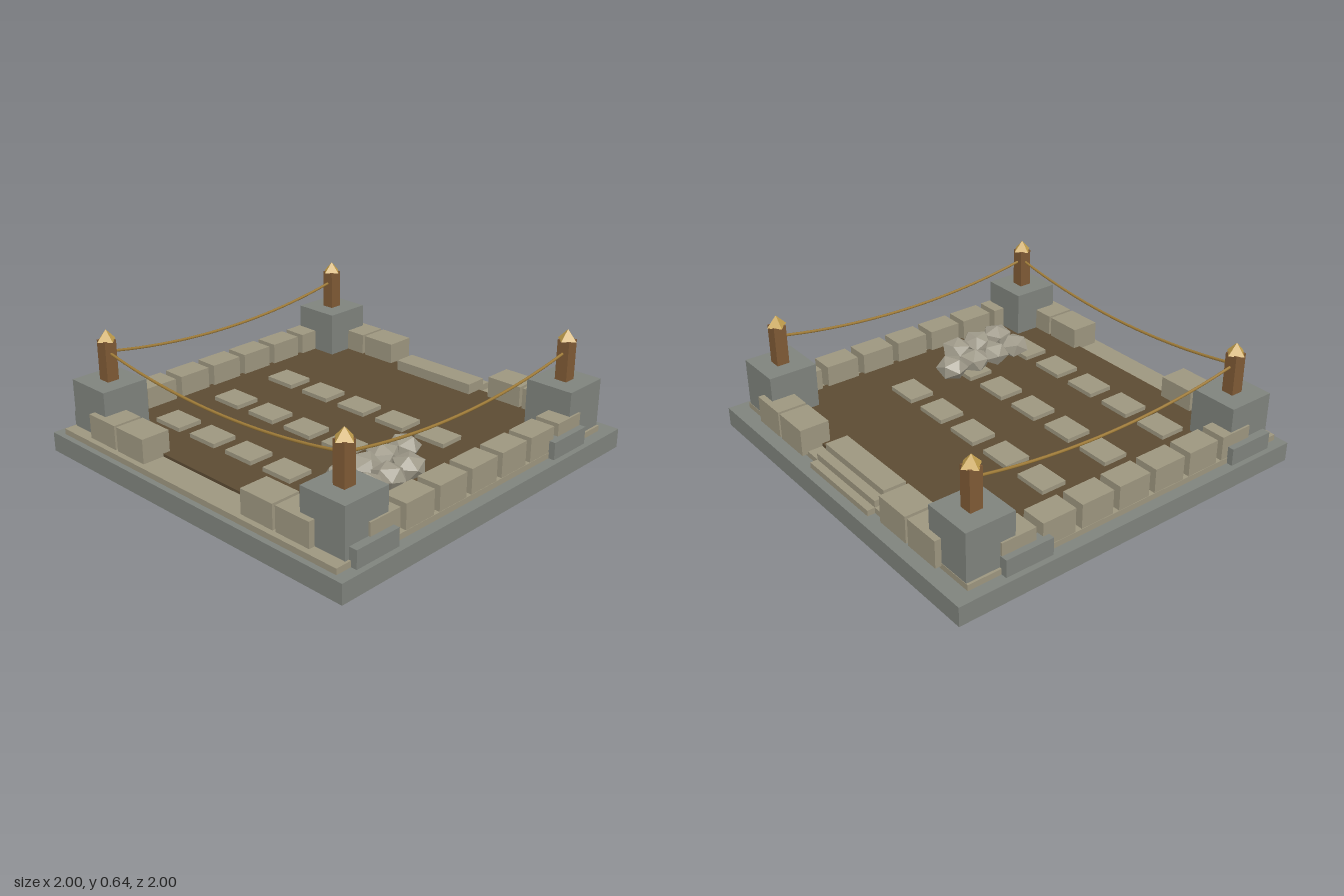
import * as THREE from 'three';

const mat = (name, color, flat = false) => {
  const m = new THREE.MeshStandardMaterial({ color, flatShading: flat });
  m.name = name;
  return m;
};

export function createModel() {
  const root = new THREE.Group();
  root.name = 'walledYard';
  const grey = mat('greyStone', 0x7f837d);
  const tan = mat('tanStone', 0x9d967f);
  const soil = mat('soil', 0x5c4b33);
  const wood = mat('wood', 0x7f5a35);
  const gold = mat('gold', 0xc6a24e, true);
  const ropeMat = mat('rope', 0xa07c38);
  const rubble = mat('rubble', 0x9f9a8a, true);

  const add = (name, geo, material, x, y, z) => {
    const m = new THREE.Mesh(geo, material);
    m.name = name;
    m.position.set(x, y, z);
    root.add(m);
    return m;
  };
  // Box from minimum to maximum corner
  const box = (name, material, x0, x1, y0, y1, z0, z1) =>
    add(name, new THREE.BoxGeometry(x1 - x0, y1 - y0, z1 - z0), material,
      (x0 + x1) / 2, (y0 + y1) / 2, (z0 + z1) / 2);

  // Ground layers
  box('base', grey, -1, 1, 0, 0.1, -1, 1);
  box('kerb', tan, -0.94, 0.94, 0.1, 0.13, -0.91, 0.97);
  box('soilBed', soil, -0.83, 0.83, 0.12, 0.145, -0.83, 0.825);

  // Side walls
  for (const s of [-1, 1]) {
    for (let i = 0; i < 7; i++) {
      const z = 0.68 - i * 0.22;
      add('sideWallBlock', new THREE.BoxGeometry(0.13, 0.14, 0.183), tan, s * 0.873, 0.186, z);
    }
    // Front and back walls, open in the middle
    for (const x of [0.44, 0.657])
      for (const e of [-1, 1])
        add('endWallBlock', new THREE.BoxGeometry(0.2, 0.14, 0.155), tan, s * x, 0.186, e * 0.863);
  }

  // Corner piers with posts, caps and low buttresses
  const px = 0.8, pz = 0.78;
  for (const s of [-1, 1]) {
    for (const e of [-1, 1]) {
      box('cornerPier', grey, s * px - 0.128, s * px + 0.128, 0.1, 0.38, e * pz - 0.128, e * pz + 0.128);
      add('post', new THREE.BoxGeometry(0.066, 0.21, 0.066), wood, s * px, 0.482, e * pz);
      add('postCap', new THREE.ConeGeometry(0.053, 0.056, 4), gold, s * px, 0.612, e * pz);
      const bz = e > 0 ? 0.758 : -0.607;
      add('buttress', new THREE.BoxGeometry(0.07, 0.09, 0.256), grey, s * 0.936, 0.145, bz);
    }
  }

  // Sagging ropes on the front and both sides
  const rope = (name, ax, az, bx, bz) => {
    const pts = [];
    for (let i = 0; i <= 8; i++) {
      const t = i / 8, u = 2 * t - 1;
      pts.push(new THREE.Vector3(ax + (bx - ax) * t, 0.45 + 0.076 * u * u, az + (bz - az) * t));
    }
    add(name, new THREE.TubeGeometry(new THREE.CatmullRomCurve3(pts), 24, 0.007, 6), ropeMat, 0, 0, 0);
  };
  rope('frontRope', -px, pz, px, pz);
  rope('leftRope', px, -pz, px, pz);
  rope('rightRope', -px, -pz, -px, pz);

  // Back steps
  box('topStep', tan, -0.25, 0.25, -0.001, 0.2, -0.86, -0.74);
  box('middleStep', tan, -0.25, 0.25, -0.001, 0.165, -0.91, -0.86);
  box('lowStep', tan, -0.25, 0.25, -0.001, 0.13, -0.95, -0.91);

  // Paving slabs
  for (let i = 0; i < 5; i++)
    for (let j = 0; j < 3; j++)
      add('pavingSlab', new THREE.BoxGeometry(0.178, 0.03, 0.138), tan, -0.563 + i * 0.261, 0.152, -0.207 + j * 0.38);

  // Rubble pile
  const spots = [[0.495, 0.06], [0.49, 0.2], [0.645, 0.2], [0.495, 0.335],
    [0.645, 0.335], [0.495, 0.475], [0.645, 0.475]];
  spots.forEach(([x, z], i) => {
    const g = new THREE.IcosahedronGeometry(0.087, 0);
    g.rotateX(i * 0.9).rotateY(i * 1.7 + 0.4).scale(1, 0.75, 1);
    add('rubbleStone', g, rubble, x, 0.2, z);
  });
  return root;
}
